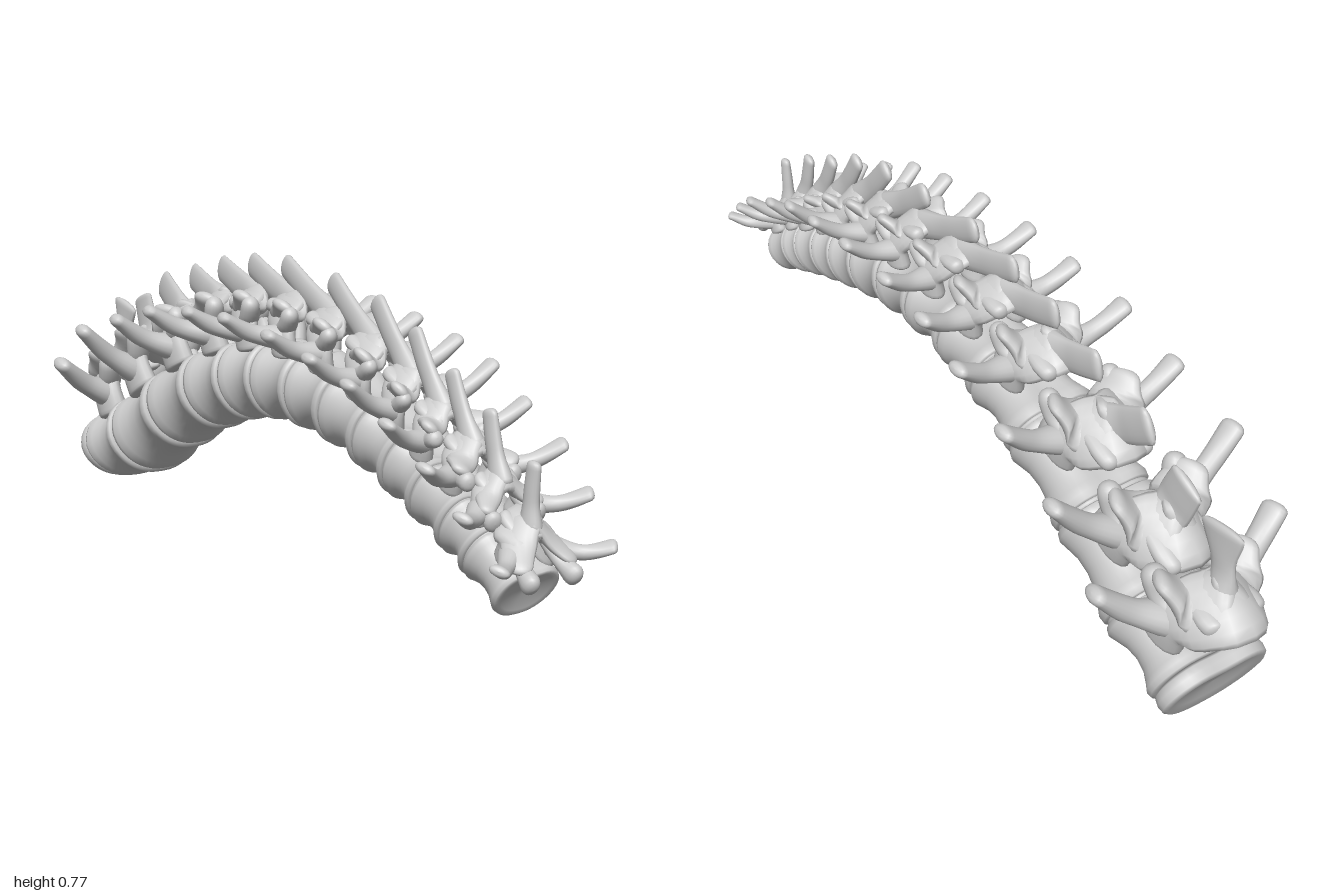
import * as THREE from 'three';

const V = (x, y, z) => new THREE.Vector3(x, y, z);
const material = new THREE.MeshStandardMaterial({ color: 0xcccccc });
const COUNT = 13;

// Joints between the vertebrae, front end first: z, y, half width, half height
const joints = [
  [0.895, 0.238, 0.074, 0.064], [0.79, 0.297, 0.08, 0.075], [0.71, 0.335, 0.083, 0.08],
  [0.61, 0.375, 0.086, 0.084], [0.51, 0.41, 0.089, 0.087], [0.395, 0.445, 0.092, 0.09],
  [0.26, 0.475, 0.096, 0.093], [0.12, 0.487, 0.10, 0.095], [-0.03, 0.48, 0.105, 0.097],
  [-0.18, 0.45, 0.11, 0.10], [-0.35, 0.392, 0.116, 0.103], [-0.55, 0.297, 0.122, 0.108],
  [-0.75, 0.18, 0.134, 0.113], [-0.96, 0.092, 0.14, 0.097],
];
// Tips of the side wings: x, y, z
const wingTips = [
  [0.145, 0.34, 0.985], [0.162, 0.42, 0.89], [0.178, 0.495, 0.785], [0.182, 0.555, 0.655],
  [0.192, 0.61, 0.525], [0.20, 0.637, 0.385], [0.205, 0.656, 0.22], [0.212, 0.662, 0.03],
  [0.217, 0.648, -0.14], [0.235, 0.622, -0.31], [0.24, 0.57, -0.49], [0.25, 0.51, -0.68],
  [0.25, 0.388, -0.83],
];
// Tips of the upper blades: z, y, half breadth
const bladeTips = [
  [0.90, 0.51, 0.018], [0.755, 0.582, 0.021], [0.625, 0.635, 0.023], [0.49, 0.695, 0.025],
  [0.345, 0.735, 0.028], [0.165, 0.75, 0.03], [-0.045, 0.755, 0.031], [-0.205, 0.733, 0.033],
  [-0.36, 0.70, 0.036], [-0.515, 0.655, 0.038], [-0.69, 0.61, 0.043], [-0.815, 0.55, 0.05],
  [-0.925, 0.515, 0.066],
];

const axis = new THREE.CatmullRomCurve3(joints.map(([z, y]) => V(0, y, z)), false, 'catmullrom');

// Frame and size of the column at f joints from the front
function frameAt(f) {
  const i = Math.min(Math.floor(f), COUNT - 1), k = f - i;
  const fwd = axis.getTangent(f / COUNT).negate();
  return {
    c: axis.getPoint(f / COUNT), fwd, up: V(0, fwd.z, -fwd.y),
    w: THREE.MathUtils.lerp(joints[i][2], joints[i + 1][2], k),
    h: THREE.MathUtils.lerp(joints[i][3], joints[i + 1][3], k),
  };
}

// Closed skin over rings of points that turn counter-clockwise about the path
function skin(rings) {
  const n = rings[0].length, m = rings.length, pts = rings.flat(), index = [];
  for (let i = 0; i < m - 1; i++) for (let j = 0; j < n; j++) {
    const a = i * n + j, b = i * n + (j + 1) % n;
    index.push(a, b, a + n, b, b + n, a + n);
  }
  for (const [ring, flip] of [[0, true], [m - 1, false]]) {
    const mid = pts.length;
    pts.push(rings[ring].reduce((s, p) => s.add(p), V(0, 0, 0)).divideScalar(n));
    for (let j = 0; j < n; j++) {
      const a = ring * n + j, b = ring * n + (j + 1) % n;
      index.push(mid, flip ? b : a, flip ? a : b);
    }
  }
  const g = new THREE.BufferGeometry().setFromPoints(pts);
  g.setIndex(index);
  g.computeVertexNormals();
  return g;
}

// Rounded limb: path points, [half width along ref, half height] per point, blunt end length
function limb(points, sizes, ref, cap, steps = 20, sides = 16) {
  const curve = new THREE.CatmullRomCurve3(points), rings = [];
  for (let i = 0; i <= steps; i++) {
    const t = 0.5 - 0.5 * Math.cos(Math.PI * i / steps);
    const k = t * (sizes.length - 1), a = Math.min(Math.floor(k), sizes.length - 2);
    const mix = q => THREE.MathUtils.lerp(sizes[a][q], sizes[a + 1][q], THREE.MathUtils.smoothstep(k - a, 0, 1));
    const e = Math.max(0, 1 - Math.min(t, 1 - t) / cap);
    const round = Math.max(0.03, Math.pow(1 - e * e, 0.4));
    const p = curve.getPoint(t), d = curve.getTangent(t);
    const b = ref.clone().addScaledVector(d, -ref.dot(d)).normalize(), n = d.clone().cross(b);
    rings.push(Array.from({ length: sides }, (_, j) => {
      const q = j / sides * Math.PI * 2;
      return p.clone().addScaledVector(b, Math.cos(q) * mix(0) * round)
        .addScaledVector(n, Math.sin(q) * mix(1) * round);
    }));
  }
  return skin(rings);
}

// Drum with a kidney section along the column; profile is [place 0..1, radius]
function drum(from, to, profile, sides = 40) {
  return skin(profile.map(([a, r]) => {
    const { c, up, w, h } = frameAt(from + (to - from) * a);
    return Array.from({ length: sides }, (_, j) => {
      const q = j / sides * Math.PI * 2, co = Math.cos(q), si = Math.sin(q);
      const x = Math.sign(co) * Math.pow(Math.abs(co), 0.85) * (1 + 0.12 * Math.min(si, 0));
      let y = Math.sign(si) * Math.pow(Math.abs(si), 0.9);
      if (y > 0) y *= 0.97 - 0.16 * Math.exp(-Math.pow(x * 2.5, 2));
      return c.clone().add(V(-x * w * r, 0, 0)).addScaledVector(up, y * h * r);
    });
  }));
}

const bodyProfile = [
  [0.08, 0.02], [0.06, 0.45], [0.02, 0.8], [0, 0.92], [0.02, 1.01], [0.09, 1.04], [0.18, 0.98],
  [0.32, 0.89], [0.5, 0.85], [0.68, 0.88], [0.82, 0.96], [0.91, 1.02], [0.98, 1], [1, 0.92],
  [0.985, 0.8], [0.96, 0.45], [0.95, 0.02],
];
const discProfile = [[0, 0.02], [0, 0.86], [0.15, 0.93], [0.5, 0.95], [0.85, 0.93], [1, 0.86], [1, 0.02]];
const plateProfile = [[0, 0.02], [0, 0.88], [0.15, 0.97], [0.5, 1], [0.85, 0.98], [1, 0.91], [0.85, 0.7], [0.75, 0.02]];

function vertebra(i) {
  const group = new THREE.Group();
  group.name = 'vertebra' + (i + 1);
  const add = (name, geometry) => {
    const mesh = new THREE.Mesh(geometry, material);
    mesh.name = name;
    group.add(mesh);
  };
  const last = i === COUNT - 1;
  const { c, fwd, up, w, h } = frameAt(i + 0.5);
  const len = axis.getPoint(i / COUNT).distanceTo(axis.getPoint((i + 1) / COUNT));
  const s = w / 0.1;
  // Point at x, height above the body (scaled) and place along the body length
  const at = (x, u, f) => c.clone().add(V(x * s, 0, 0)).addScaledVector(up, h + u * s).addScaledVector(fwd, f * len);

  add('body', drum(i + 0.015, last ? i + 0.8 : i + 0.985, bodyProfile));
  if (last) add('endPlate', drum(i + 0.8, i + 1, plateProfile));
  else add('disc', drum(i + 0.96, i + 1.04, discProfile));

  // Arch over the canal, lower towards the front end
  const k = Math.min(i / 4, 1), crown = 0.068 + 0.024 * k;
  const half = [[0.055, -0.03, 0.12], [0.06, 0.03, 0.1], [0.038, crown - 0.022, -0.05]];
  const arch = [...half.map(p => at(...p)), at(0, crown, -0.15), ...half.map(([x, u, f]) => at(-x, u, f)).reverse()];
  const legs = [[0.29 * len, 0.026 * s], [0.28 * len, 0.022 * s], [0.36 * len, 0.02 * s]];
  add('arch', limb(arch, [...legs, [0.4 * len, 0.022 * s], ...legs.slice().reverse()], fwd, 0.03, 36));

  // Thin blade rising from the arch
  const [tz, ty, tb] = bladeTips[i];
  const root = at(0, crown - 0.015, last ? -0.1 : 0), tip = V(0, ty, tz);
  const bend = root.clone().lerp(tip, 0.5).addScaledVector(up, last ? 0 : -0.006);
  const rootB = last ? 0.034 : 0.038 * s;
  add('spinousBlade', limb([root, bend, tip],
    [[0.028 * s, rootB], [0.014, last ? 0.034 : tb * 1.05], [0.011, tb]], V(1, 0, 0), 0.07));

  // Forward joints reach further and lower towards the front end
  const lift = 0.015 + 0.073 * k, reach = 0.95 - 0.45 * k, back = last ? -0.32 : -0.5;
  for (const m of [1, -1]) {
    const side = m > 0 ? 'left' : 'right';
    const [sx, sy, sz] = wingTips[i];
    const end = V(m * sx, sy, sz), start = at(m * 0.05, 0.015, 0.1);
    const mid = start.clone().lerp(end, 0.55);
    mid.y -= 0.016;
    add(side + 'TransverseWing', limb([start, mid, end],
      [[0.036 * s, 0.03 * s], [0.021 * s, 0.02 * s], [0.02 * s + 0.006, 0.014 * s]], V(0, 0, 1), 0.07));
    add(side + 'FrontJoint', limb([at(m * 0.045, 0.04, -0.1), at(m * 0.06, lift * 0.4 + 0.012, reach * 0.5), at(m * 0.072, lift, reach)],
      [[0.02 * s, 0.02 * s], [0.023 * s, 0.02 * s], [0.026 * s - 0.007 * k, 0.034 * s - 0.014 * k]], V(1, 0, 0), 0.2));
    add(side + 'BackJoint', limb([at(m * 0.03, crown - 0.022, 0.05), at(m * 0.036, crown - 0.014, back * 0.5), at(m * 0.04, crown - 0.012, back)],
      [[0.024 * s, 0.016 * s], [0.024 * s, 0.017 * s], [0.018 * s, 0.018 * s]], V(1, 0, 0), 0.2));
    // Web from the forward joint up to the blade
    add(side + 'Lamina', limb([at(m * 0.085, lift + 0.014, reach * 0.7), at(m * 0.045, crown - 0.022, 0.12), at(0, crown + 0.012, -0.2)],
      [[0.18 * len, 0.013 * s], [0.3 * len, 0.018 * s], [0.3 * len, 0.02 * s]], fwd, 0.12));
  }
  return group;
}

export function createModel() {
  const model = new THREE.Group();
  model.name = 'spineSection';
  for (let i = 0; i < COUNT; i++) model.add(vertebra(i));
  return model;
}
